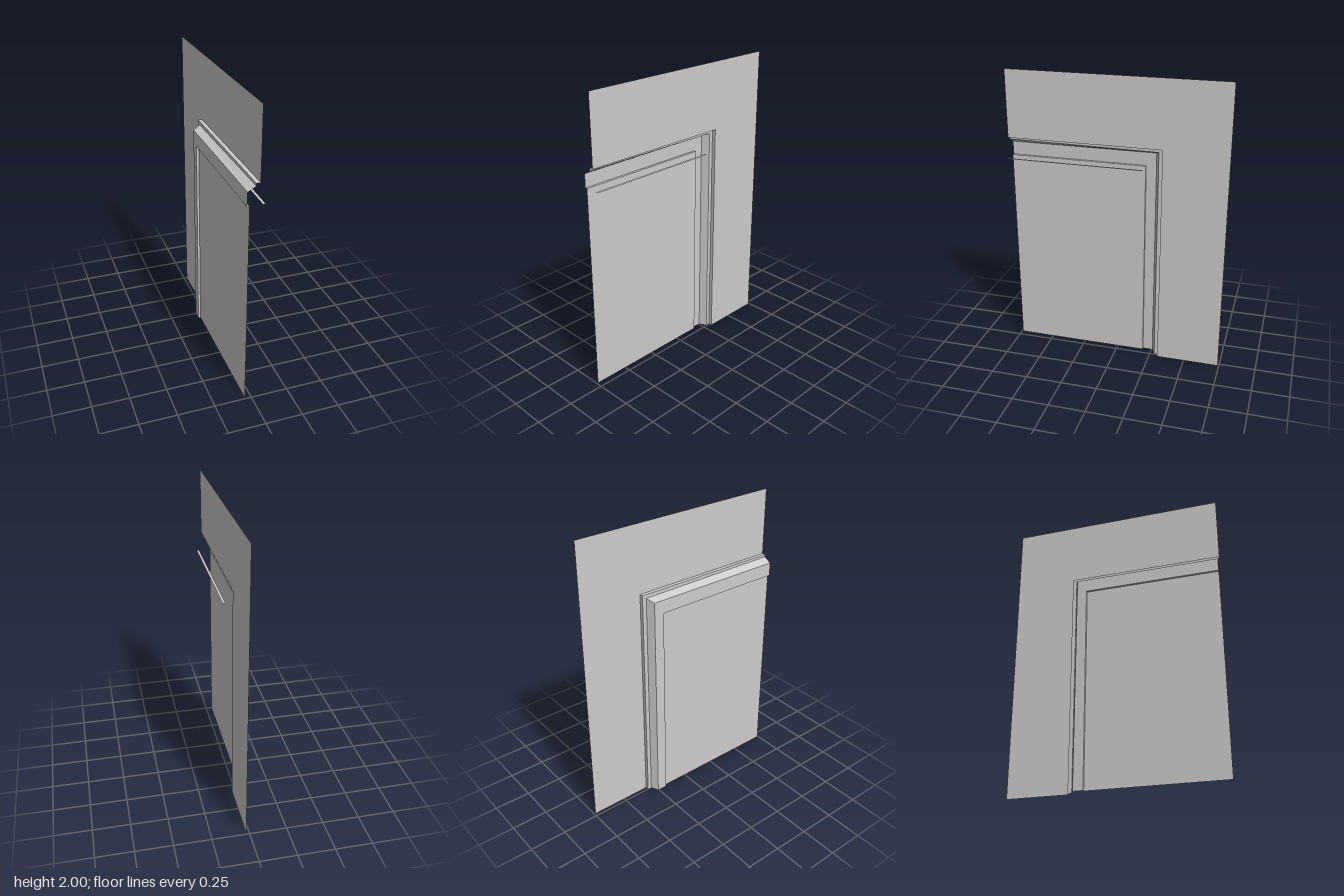
import * as THREE from 'three';

const material = new THREE.MeshStandardMaterial({
  color: 0xcccccc, side: THREE.DoubleSide, flatShading: true,
});

const END = 0.742;                      // half length of the wall along z

// Flat sheet standing at the given x, outlined by [z, y] corners
function sheet(name, x, corners) {
  const shape = new THREE.Shape(corners.map(([z, y]) => new THREE.Vector2(-z, y)));
  const geometry = new THREE.ShapeGeometry(shape).rotateY(Math.PI / 2).translate(x, 0, 0);
  const mesh = new THREE.Mesh(geometry, material);
  mesh.name = name;
  return mesh;
}

// Open moulding: a bent sheet running up the jamb, round the mitre and along the head
function casing() {
  // x, z of the jamb, y at the mitre, y at the far end of the head
  const profile = [
    [-0.042, -0.187, 1.402, 1.402],
    [-0.058, -0.187, 1.402, 1.402],
    [-0.056, -0.256, 1.493, 1.493],
    [-0.005, -0.281, 1.515, 1.523],
    [-0.005, -0.309, 1.54, 1.54],
    [0.021, -0.309, 1.54, 1.54],
  ];
  const stations = [
    profile.map(([x, z]) => [x, 0, z]),
    profile.map(([x, z, y]) => [x, y, z]),
    profile.map(([x, , , y]) => [x, y, END]),
  ];
  const positions = [];
  for (let s = 0; s < 2; s++) {
    for (let i = 0; i < profile.length - 1; i++) {
      const a = stations[s][i], b = stations[s][i + 1];
      const c = stations[s + 1][i + 1], d = stations[s + 1][i];
      positions.push(...a, ...d, ...b, ...b, ...d, ...c);
    }
  }
  const geometry = new THREE.BufferGeometry();
  geometry.setAttribute('position', new THREE.Float32BufferAttribute(positions, 3));
  geometry.computeVertexNormals();
  const mesh = new THREE.Mesh(geometry, material);
  mesh.name = 'doorCasing';
  return mesh;
}

export function createModel() {
  const group = new THREE.Group();
  group.name = 'doorwayWall';

  // Wall with the doorway cut out of its lower front corner
  group.add(sheet('wall', 0.021, [
    [-END, 0], [-0.309, 0], [-0.309, 1.54], [END, 1.54], [END, 2], [-END, 2],
  ]));

  // Door leaf set just behind the lip of the casing
  group.add(sheet('doorPanel', -0.042, [
    [END, 0], [END, 1.402], [-0.187, 1.402], [-0.187, 0],
  ]));

  group.add(casing());

  // Narrow level strip above the door, on the inner side
  const strip = new THREE.Mesh(
    new THREE.PlaneGeometry(0.018, END + 0.187).rotateX(-Math.PI / 2), material);
  strip.position.set(0.048, 1.402, (END - 0.187) / 2);
  strip.name = 'headStrip';
  group.add(strip);

  return group;
}
